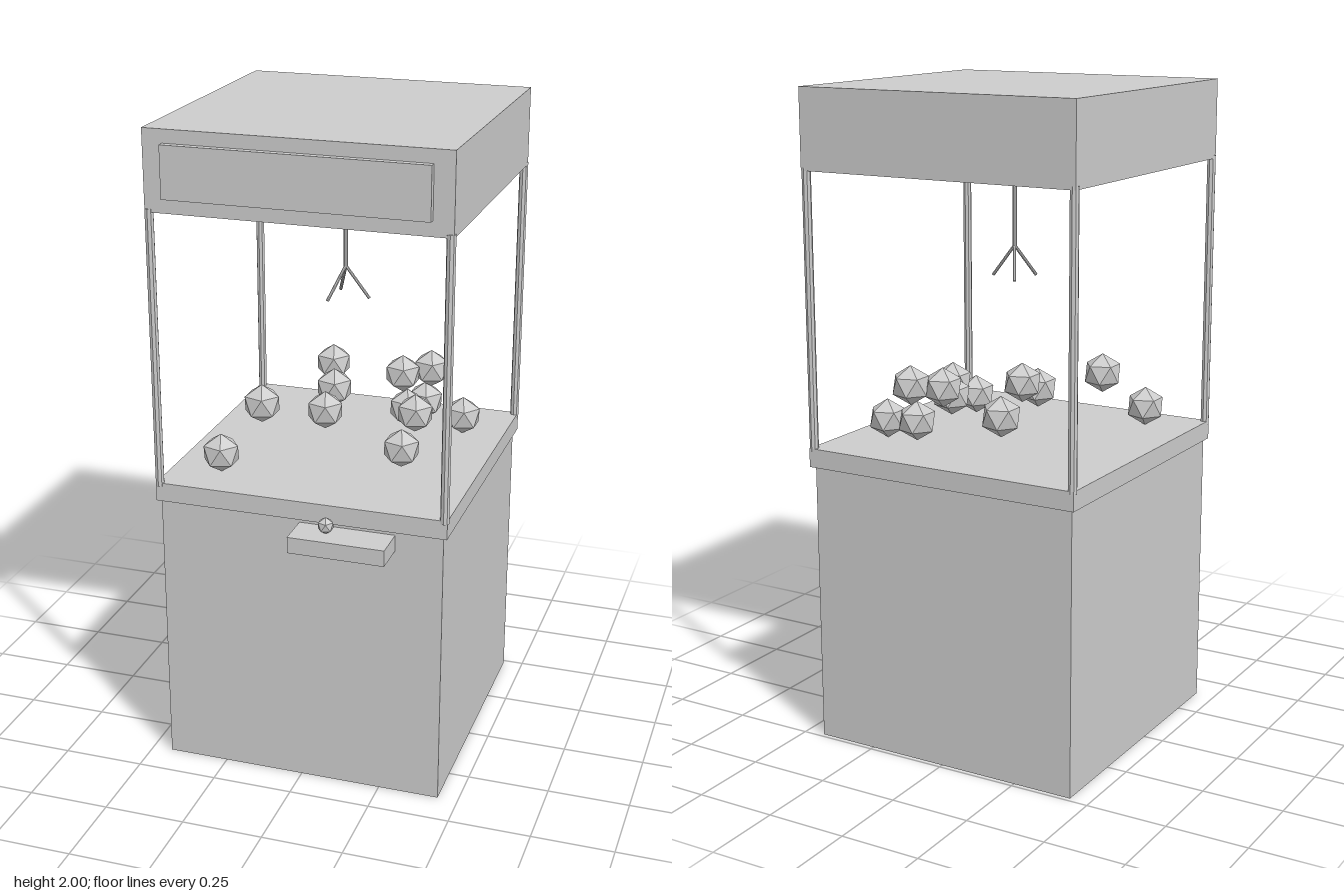
import * as THREE from 'three';

export function createModel() {
  const model = new THREE.Group();
  model.name = 'clawMachine';
  const grey = new THREE.MeshStandardMaterial({ color: 0xcccccc });
  grey.name = 'plain grey';
  const midZ = -0.05; // centre of the cabinet in depth

  const add = (name, geometry, parent = model) => {
    const mesh = new THREE.Mesh(geometry, grey);
    mesh.name = name;
    parent.add(mesh);
    return mesh;
  };

  // Box given by its extents on each axis
  const box = (name, [x0, x1], [y0, y1], [z0, z1]) =>
    add(name, new THREE.BoxGeometry(x1 - x0, y1 - y0, z1 - z0))
      .position.set((x0 + x1) / 2, (y0 + y1) / 2, (z0 + z1) / 2);

  // Faceted straight rod between two points
  const rod = (name, from, to, radius, parent) => {
    const a = new THREE.Vector3(...from), b = new THREE.Vector3(...to);
    const dir = b.clone().sub(a);
    const geometry = new THREE.CylinderGeometry(radius, radius, dir.length(), 8).toNonIndexed();
    geometry.computeVertexNormals();
    const mesh = add(name, geometry, parent);
    mesh.position.copy(a).add(b).multiplyScalar(0.5);
    mesh.quaternion.setFromUnitVectors(new THREE.Vector3(0, 1, 0), dir.normalize());
  };

  // Twenty-sided ball standing on one of its points
  const ball = (name, radius, position, parent) => {
    const geometry = new THREE.IcosahedronGeometry(radius, 0);
    geometry.rotateX(-Math.atan((1 + Math.sqrt(5)) / 2)).rotateY(Math.PI / 2);
    add(name, geometry, parent).position.set(...position);
  };

  // Cabinet
  box('cabinetBase', [-0.4375, 0.4375], [0, 0.875], [-0.486, 0.39]);
  box('prizeDeck', [-0.45, 0.45], [0.872, 0.93], [-0.5, 0.4]);
  box('roof', [-0.45, 0.45], [1.76, 2], [-0.5, 0.4]);
  box('signPanel', [-0.39, 0.39], [1.805, 1.96], [0.39, 0.421]);

  // Corner posts
  for (const x of [-0.44, 0.44])
    for (const z of [-0.488, 0.392])
      rod('cornerPost', [x, 0.92, z], [x, 1.77, z], 0.0135);

  // Control shelf and joystick knob
  box('controlShelf', [0, 0.293], [0.81, 0.86], [0.38, 0.5]);
  ball('joystickKnob', 0.026, [0.098, 0.885, 0.44]);

  // Hanging claw with three prongs
  const claw = new THREE.Group();
  claw.name = 'claw';
  claw.position.set(0, 0, midZ);
  model.add(claw);
  rod('clawCable', [0, 1.515, 0], [0, 1.77, 0], 0.007, claw);
  for (let i = 0; i < 3; i++) {
    const a = (i * Math.PI * 2) / 3;
    rod('clawProng', [0, 1.518, 0], [0.075 * Math.cos(a), 1.422, 0.075 * Math.sin(a)], 0.005, claw);
  }

  // Prize balls
  const prizes = new THREE.Group();
  prizes.name = 'prizes';
  model.add(prizes);
  [
    [-0.296, 0.99, 0.256], [-0.21, 1.113, 0.128], [-0.15, 1.08, -0.385],
    [-0.05, 1.108, -0.09], [-0.045, 1.07, 0.015], [0.12, 1.11, -0.27],
    [0.2, 1.118, -0.323], [0.175, 1.05, -0.135], [0.226, 1.07, -0.045],
    [0.22, 1.003, 0.083], [0.32, 0.99, -0.272], [0.183, 1.01, -0.318],
  ].forEach((p) => ball('prizeBall', 0.061, p, prizes));

  return model;
}
